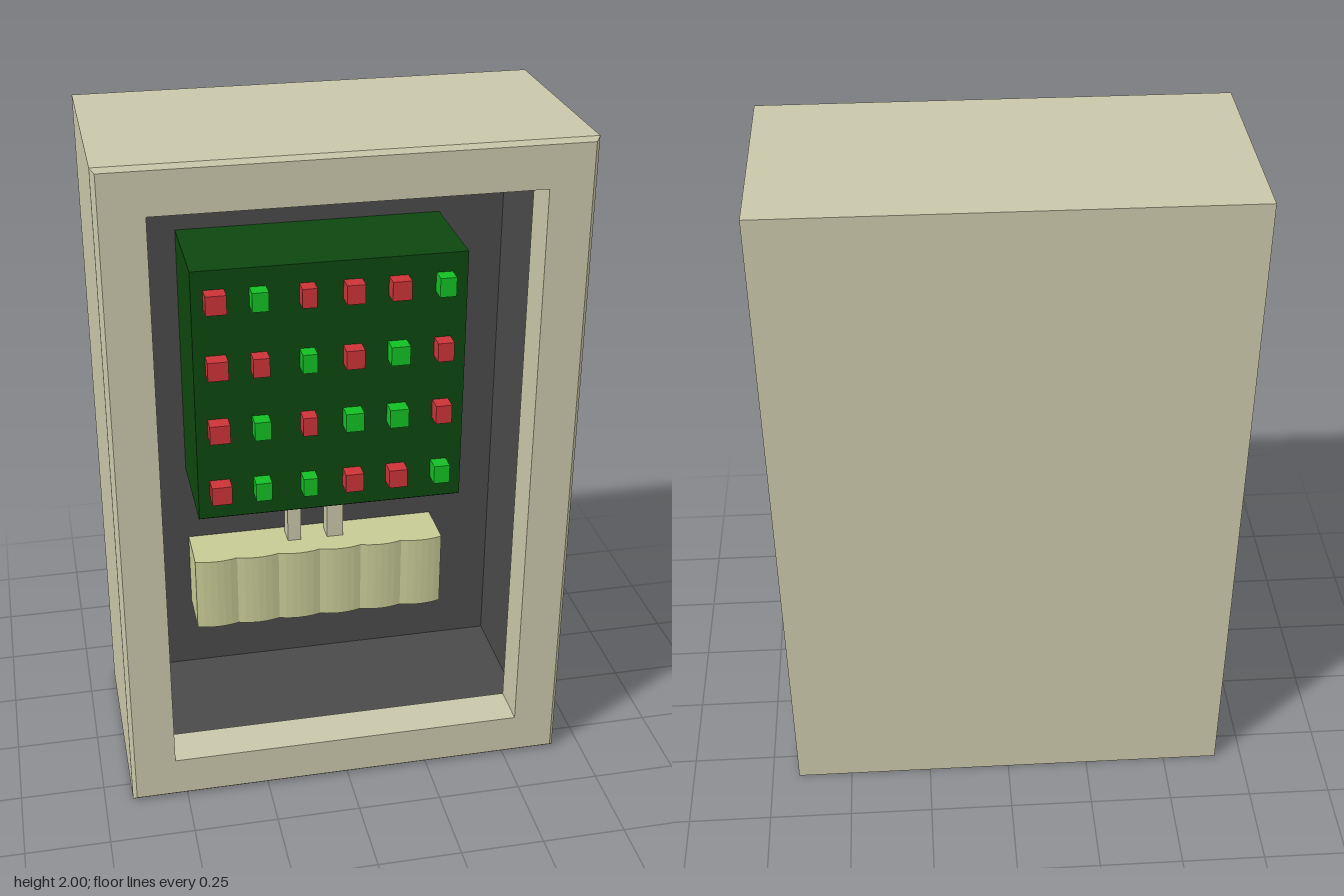
import * as THREE from 'three';

const mat = (name, color) => {
  const m = new THREE.MeshStandardMaterial({ color });
  m.name = name;
  return m;
};

// Flat-sided surface through nested rectangles [inset from the outer edge, z].
function ringSurface(rings) {
  const corners = rings.map(([inset, z]) => {
    const hw = Math.max(0.6667 - inset, 0), hh = Math.max(1 - inset, 0);
    return [[-hw, 1 - hh, z], [hw, 1 - hh, z], [hw, 1 + hh, z], [-hw, 1 + hh, z]];
  });
  const pos = [];
  for (let i = 0; i < corners.length - 1; i++) {
    const a = corners[i], b = corners[i + 1];
    for (let j = 0; j < 4; j++) {
      const k = (j + 1) % 4;
      pos.push(...a[j], ...a[k], ...b[k], ...a[j], ...b[k], ...b[j]);
    }
  }
  const geo = new THREE.BufferGeometry();
  geo.setAttribute('position', new THREE.Float32BufferAttribute(pos, 3));
  geo.computeVertexNormals();
  return geo;
}

export function createModel() {
  const group = new THREE.Group();
  const beige = mat('cabinet beige', 0xc9c7a9);
  const dark = mat('interior grey', 0x4a4a4a);
  const boardGreen = mat('board green', 0x0d470e);
  const red = mat('light red', 0xcc3338);
  const green = mat('light green', 0x12c024);
  const cream = mat('battery cream', 0xc6ca94);

  const add = (name, geo, material, x = 0, y = 0, z = 0, parent = group) => {
    const mesh = new THREE.Mesh(geo, material);
    mesh.name = name;
    mesh.position.set(x, y, z);
    parent.add(mesh);
    return mesh;
  };

  // Cabinet: back, sides, chamfered front frame and window reveal
  add('cabinet', ringSurface([
    [1, -0.3333], [0, -0.3333], [0, 0.32], [0.012, 0.3333], [0.134, 0.3333], [0.134, 0.205],
  ]), beige);

  // Hollow interior, wider than the window
  add('interior', ringSurface([
    [0.134, 0.205], [0.067, 0.205], [0.067, -0.267], [1, -0.267],
  ]), dark);

  // Circuit board block with a small chamfer under its front edge
  const side = new THREE.Shape();
  [[0.267, 0.8], [0.267, 1.6], [-0.065, 1.6], [-0.065, 0.81], [-0.05, 0.8]]
    .forEach(([x, y], i) => (i ? side.lineTo(x, y) : side.moveTo(x, y)));
  const boardGeo = new THREE.ExtrudeGeometry(side, { depth: 0.8, bevelEnabled: false });
  boardGeo.rotateY(Math.PI / 2);
  boardGeo.translate(-0.4, 0, 0);
  add('circuitBoard', boardGeo, boardGreen);

  // Indicator lights, four rows of six
  const lights = new THREE.Group();
  lights.name = 'indicatorLights';
  group.add(lights);
  const columns = [[-0.335, 0.06], [-0.21, 0.048], [-0.07, 0.043], [0.063, 0.054], [0.196, 0.056], [0.33, 0.048]];
  ['RGRRRG', 'RRGRGR', 'RGRGGR', 'RGGRRG'].forEach((row, r) => {
    columns.forEach(([x, w], c) => {
      add('indicatorLight', new THREE.BoxGeometry(w, 0.058, 0.05),
        row[c] === 'R' ? red : green, x, 1.513 - r * 0.202, 0.088, lights);
    });
  });

  // Two conduits joining board and battery
  for (const [x, w] of [[-0.069, 0.043], [0.064, 0.053]]) {
    add('conduit', new THREE.BoxGeometry(w, 0.27, 0.06), beige, x, 0.675, -0.21);
  }

  // Battery pack: six shallow rounded cells along the front
  const plan = new THREE.Shape();
  plan.moveTo(-0.4, 0.267);
  plan.lineTo(-0.4, 0.11);
  const cell = 0.8 / 6;
  for (let i = 0; i < 6; i++) {
    const x = -0.4 + i * cell;
    plan.quadraticCurveTo(x + cell / 2, 0.088, x + cell, 0.11);
  }
  plan.lineTo(0.4, 0.267);
  const packGeo = new THREE.ExtrudeGeometry(plan, { depth: 0.245, bevelEnabled: false, curveSegments: 6 });
  packGeo.rotateX(-Math.PI / 2);
  add('batteryPack', packGeo, cream, 0, 0.305, 0);

  return group;
}
